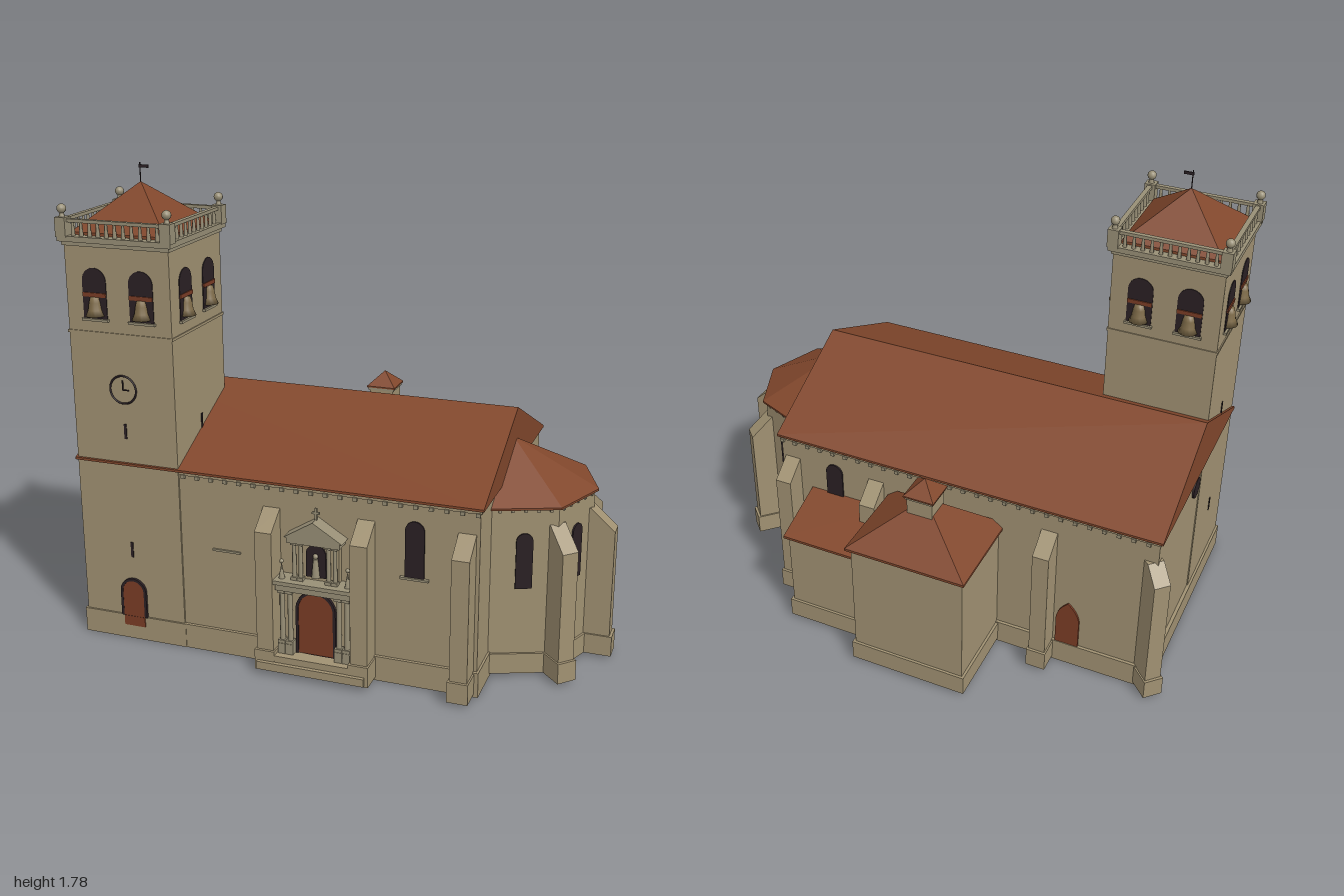
import * as THREE from 'three';
import { ConvexGeometry } from 'three/addons/geometries/ConvexGeometry.js';

const mat = (name, color) => {
  const m = new THREE.MeshStandardMaterial({ color });
  m.name = name;
  return m;
};

export function createModel() {
  const stone = mat('stone', 0xa09172), trim = mat('paleTrim', 0x988f76), roof = mat('roofTile', 0x81472c),
    dark = mat('darkOpening', 0x2a2024), wood = mat('wood', 0x7a3c25), bronze = mat('bronze', 0x7d6a48);
  stone.side = THREE.DoubleSide; // the walls are open shells
  const root = new THREE.Group();
  root.name = 'church';

  const add = (name, geo, m, x = 0, y = 0, z = 0, ry = 0, parent = root) => {
    const mesh = new THREE.Mesh(geo, m);
    mesh.name = name;
    mesh.position.set(x, y, z);
    mesh.rotation.y = ry;
    parent.add(mesh);
    return mesh;
  };
  // Box given by its limits
  const box = (name, m, x0, x1, y0, y1, z0, z1, parent = root) =>
    add(name, new THREE.BoxGeometry(x1 - x0, y1 - y0, z1 - z0), m, (x0 + x1) / 2, (y0 + y1) / 2, (z0 + z1) / 2, 0, parent);
  const hull = (name, m, pts) => add(name, new ConvexGeometry(pts.map(p => new THREE.Vector3(...p))), m);
  const group = (name, x, y, z, ry = 0) => {
    const g = new THREE.Group();
    g.name = name;
    g.position.set(x, y, z);
    g.rotation.y = ry;
    root.add(g);
    return g;
  };
  const rect = (x0, x1, z0, z1) => [[x0, z1], [x1, z1], [x1, z0], [x0, z0]];
  // Walls without floor or ceiling around a ground plan of [x, z] corners
  const walls = (name, plan, y0, y1) => {
    const pos = [];
    plan.forEach(([ax, az], i) => {
      const [bx, bz] = plan[(i + 1) % plan.length];
      pos.push(ax, y0, az, bx, y0, bz, bx, y1, bz, ax, y0, az, bx, y1, bz, ax, y1, az);
    });
    const geo = new THREE.BufferGeometry();
    geo.setAttribute('position', new THREE.Float32BufferAttribute(pos, 3));
    geo.computeVertexNormals();
    return add(name, geo, stone);
  };
  // Plinth ring between two ground plans
  const ring = (name, outer, inner, y0, y1) => {
    const flat = pts => pts.map(([x, z]) => new THREE.Vector2(x, -z));
    const s = new THREE.Shape(flat(outer));
    s.holes.push(new THREE.Path(flat(inner)));
    return add(name, new THREE.ExtrudeGeometry(s, { depth: y1 - y0, bevelEnabled: false }).rotateX(-Math.PI / 2), stone, 0, y0, 0);
  };
  // Round-headed plate, base at y = 0, facing +z
  const arch = (w, h, depth = 0.006, cut = 0) => {
    const outline = (o, r, top) => {
      o.moveTo(-r, 0);
      o.lineTo(r, 0);
      o.lineTo(r, top);
      o.absarc(0, top, r, 0, Math.PI, false);
      o.lineTo(-r, 0);
      return o;
    };
    const s = outline(new THREE.Shape(), w / 2, h - w / 2);
    if (cut) s.holes.push(outline(new THREE.Path(), w / 2 - cut, h - w / 2));
    return new THREE.ExtrudeGeometry(s, { depth, bevelEnabled: false, curveSegments: 10 });
  };
  const pyramid = (name, cx, cz, rx, rz, y, top, lip = 0.01) => hull(name, roof, [
    ...rect(cx - rx, cx + rx, cz - rz, cz + rz).flatMap(([x, z]) => [[x, y, z], [x, y + lip, z]]), [cx, top, cz]]);
  const H = Math.PI / 2, base = 0.012;

  // Nave
  const navePlan = rect(-0.932, 0.6, -0.333, 0.572);
  walls('naveWalls', navePlan, 0, 0.702);
  ring('navePlinth', rect(-0.945, 0.608, -0.345, 0.584), navePlan, 0, 0.095);
  ring('naveCornice', rect(-0.937, 0.605, -0.339, 0.577), navePlan, 0.688, 0.7);
  hull('naveRoof', roof, [-0.945, 0.613].flatMap(x =>
    [[x, 0.7, -0.346], [x, 0.709, -0.346], [x, 0.7, 0.584], [x, 0.709, 0.584], [x, 0.927, 0.118]]));
  for (let x = -0.9; x < 0.6; x += 0.055) {
    if (x > -0.52) box('eaveBracket', trim, x, x + 0.015, 0.678, 0.692, 0.573, 0.583);
    box('eaveBracket', trim, x, x + 0.015, 0.678, 0.692, -0.345, -0.334);
  }
  for (const [z, ry] of [[0.573, 0], [-0.334, Math.PI]]) {
    const g = group('naveWindow', 0.37 * Math.sign(1), 0.42, z, ry);
    add('windowOpening', arch(0.07, 0.21), dark, 0, 0, 0, 0, g);
    box('windowSill', trim, -0.052, 0.052, -0.008, 0, 0, 0.013, g);
  }
  box('wallLedge', trim, -0.4, -0.29, 0.41, 0.418, 0.573, 0.58);
  add('westOculus', new THREE.CylinderGeometry(0.042, 0.042, 0.008, 20).rotateZ(H), dark, -0.937, 0.64, 0.1);
  const pointed = new THREE.Shape();
  pointed.moveTo(-0.046, 0);
  pointed.lineTo(0.046, 0);
  pointed.lineTo(0.046, 0.12);
  pointed.quadraticCurveTo(0.042, 0.165, 0, 0.2);
  pointed.quadraticCurveTo(-0.042, 0.165, -0.046, 0.12);
  add('northDoor', new THREE.ExtrudeGeometry(pointed, { depth: 0.008, bevelEnabled: false }), wood, -0.61, 0.095, -0.334, Math.PI);

  // Apse
  const plan = [[0.6, 0.42], [0.82, 0.333], [0.905, 0.12], [0.82, -0.095], [0.6, -0.182]];
  const grow = k => plan.map(([x, z]) => [0.6 + (x - 0.6) * k, 0.12 + (z - 0.12) * k]);
  walls('apseWalls', plan, base, 0.647);
  ring('apsePlinth', grow(1.03), grow(0.999), base, 0.09);
  hull('apseRoof', roof, [...grow(1.045).flatMap(([x, z]) => [[x, 0.645, z], [x, 0.653, z]]), [0.6, 0.645, 0.12], [0.6, 0.815, 0.12]]);
  for (let i = 0; i < 4; i++) {
    const [ax, az] = plan[i], [bx, bz] = plan[i + 1];
    const g = group('apseSide', (ax + bx) / 2, 0, (az + bz) / 2, Math.atan2(az - bz, bx - ax));
    add('apseWindow', arch(0.06, 0.21), dark, 0, 0.345, 0.001, 0, g);
    for (let k = -2; k <= 2; k++) box('apseBracket', trim, k * 0.045 - 0.005, k * 0.045 + 0.005, 0.634, 0.646, 0, 0.007, g);
  }

  // Buttresses with sloping tops; the angle gives the outward direction
  const buttress = (x, z, ry, d, low, high) => {
    const g = group('buttress', x, 0, z, ry);
    const s = new THREE.Shape([[-0.03, 0.05], [d, 0.05], [d, low], [0, high], [-0.03, high]].map(p => new THREE.Vector2(...p)));
    add('buttressShaft', new THREE.ExtrudeGeometry(s, { depth: 0.064, bevelEnabled: false }).translate(0, 0, -0.032), stone, 0, 0, 0, 0, g);
    box('buttressFoot', stone, -0.03, d + 0.01, base, 0.09, -0.038, 0.038, g);
  };
  for (const x of [-0.165, 0.192, 0.555]) buttress(x, 0.572, -H, 0.085, 0.545, 0.61);
  for (const x of [-0.52, 0.19, 0.555]) buttress(x, -0.333, H, 0.085, 0.545, 0.61);
  buttress(-0.922, -0.33, Math.PI * 0.75, 0.062, 0.54, 0.605);
  buttress(0.9, 0.118, 0, 0.09, 0.505, 0.585);
  buttress(0.815, 0.325, -H / 2, 0.086, 0.505, 0.585);
  buttress(0.815, -0.087, H / 2, 0.086, 0.505, 0.585);

  // Sacristy with lantern
  const sacristy = rect(-0.32, 0.125, -0.66, -0.334);
  walls('sacristyWalls', sacristy, base, 0.555);
  ring('sacristyPlinth', rect(-0.33, 0.135, -0.67, -0.33), sacristy, base, 0.09);
  pyramid('sacristyRoof', -0.097, -0.49, 0.238, 0.19, 0.55, 0.735);
  walls('lanternWalls', rect(-0.147, -0.047, -0.54, -0.44), 0.67, 0.765);
  box('lanternCornice', trim, -0.152, -0.042, 0.752, 0.762, -0.545, -0.435);
  pyramid('lanternRoof', -0.097, -0.49, 0.06, 0.06, 0.762, 0.825, 0.006);

  // Lean-to with a wedge roof
  const leanTo = rect(0.165, 0.46, -0.553, -0.334);
  walls('leanToWalls', leanTo, base, 0.412);
  ring('leanToPlinth', rect(0.155, 0.47, -0.563, -0.33), leanTo, base, 0.09);
  hull('leanToGable', stone, [0.165, 0.46].flatMap(x => [[x, 0.41, -0.334], [x, 0.41, -0.553], [x, 0.478, -0.334]]));
  hull('leanToRoof', roof, [0.15, 0.475].flatMap(x => [[x, 0.405, -0.568], [x, 0.415, -0.568], [x, 0.478, -0.334], [x, 0.49, -0.334]]));

  // Bell tower
  const tx = -0.731, tz = 0.374, th = 0.205;
  const tier = r => rect(tx - r, tx + r, tz - r, tz + r);
  const slab = (name, r, y0, y1) => box(name, trim, tx - r, tx + r, y0, y1, tz - r, tz + r);
  walls('towerWalls', tier(th), 0, 1.52);
  ring('towerPlinth', tier(0.212), tier(th), 0, 0.095);
  ring('towerBand', tier(0.209), tier(th), 1.188, 1.198);
  slab('towerCorniceLower', 0.211, 1.505, 1.52);
  slab('towerCorniceUpper', 0.222, 1.52, 1.54);
  pyramid('towerRoof', tx, tz, 0.185, 0.185, 1.54, 1.71);
  const bell = new THREE.LatheGeometry([[0, 0], [0.036, 0], [0.026, 0.022], [0.022, 0.048], [0.017, 0.066], [0, 0.07]]
    .map(p => new THREE.Vector2(...p)), 14);
  const baluster = new THREE.CylinderGeometry(0.005, 0.008, 0.05, 6);
  for (let i = 0; i < 4; i++) {
    const g = group('towerSide', tx, 0, tz, i * H);
    for (const x of [-0.092, 0.092]) {
      add('belfryOpening', arch(0.094, 0.185, 0.003), dark, x, 1.245, th + 0.001, 0, g);
      box('belfrySill', trim, x - 0.052, x + 0.052, 1.238, 1.247, th, th + 0.012, g);
      box('bellBeam', wood, x - 0.046, x + 0.046, 1.326, 1.341, th, th + 0.008, g);
      add('bell', bell, bronze, x, 1.258, th + 0.002, 0, g);
    }
    if (i !== 2) box('towerSlit', dark, -0.005, 0.005, 0.803, 0.86, th - 0.004, th + 0.003, g);
    if (i === 0 || i === 3) box('towerSlit', dark, -0.005, 0.005, 0.335, 0.395, th - 0.004, th + 0.003, g);
    // Balustrade, corner post and ball
    box('balustradeRail', trim, -0.205, 0.205, 1.588, 1.6, 0.195, 0.213, g);
    for (let k = -5; k <= 5; k++) add('baluster', baluster, trim, k * 0.033, 1.563, 0.204, 0, g);
    box('cornerPost', trim, 0.184, 0.225, 1.535, 1.605, 0.184, 0.225, g);
    add('postNeck', new THREE.CylinderGeometry(0.007, 0.012, 0.02, 8), trim, 0.205, 1.612, 0.205, 0, g);
    add('postBall', new THREE.SphereGeometry(0.017, 12, 8), trim, 0.205, 1.634, 0.205, 0, g);
  }
  const front = group('towerFront', tx, 0, tz + th + 0.001);
  add('clockRing', new THREE.TorusGeometry(0.052, 0.0038, 6, 28), dark, 0, 0.99, 0.001, 0, front);
  box('clockMinuteHand', dark, -0.002, 0.002, 0.988, 1.025, 0, 0.004, front);
  box('clockHourHand', dark, 0, 0.024, 0.988, 0.992, 0, 0.004, front);
  add('towerDoor', arch(0.086, 0.185, 0.01), wood, 0, 0.055, 0, 0, front);
  add('towerDoorFrame', arch(0.106, 0.155, 0.01, 0.01), dark, 0, 0.095, 0.001, 0, front);
  add('vanePole', new THREE.CylinderGeometry(0.002, 0.002, 0.08, 6), dark, tx, 1.738, tz);
  box('vaneFlag', dark, tx - 0.004, tx + 0.033, 1.759, 1.77, tz - 0.002, tz + 0.002);

  // Portal, centred on its own axis
  const p = group('portal', 0.014, 0, 0.573);
  const column = (x, y, h, r, z) => {
    add('columnShaft', new THREE.CylinderGeometry(r * 0.85, r, h, 10), trim, x, y + h / 2, z, 0, p);
    for (const [y0, y1] of [[y, y + 0.012], [y + h - 0.012, y + h]])
      box('columnBlock', trim, x - r * 1.4, x + r * 1.4, y0, y1, z - r * 1.4, z + r * 1.4, p);
  };
  box('lowerStep', stone, -0.205, 0.203, 0.02, 0.05, 0, 0.108, p);
  box('upperStep', stone, -0.16, 0.16, 0.05, 0.075, 0, 0.093, p);
  box('portalWall', stone, -0.142, 0.142, 0.02, 0.33, 0, 0.03, p);
  add('portalDoor', arch(0.135, 0.24, 0.008), wood, 0, 0.075, 0.03, 0, p);
  add('portalDoorFrame', arch(0.152, 0.25, 0.012, 0.01), dark, 0, 0.075, 0.03, 0, p);
  box('entablature', trim, -0.142, 0.142, 0.325, 0.35, 0, 0.07, p);
  box('entablatureCornice', trim, -0.147, 0.147, 0.35, 0.365, 0, 0.08, p);
  box('nicheWall', stone, -0.085, 0.085, 0.365, 0.515, 0, 0.025, p);
  add('niche', arch(0.075, 0.125), dark, 0, 0.378, 0.025, 0, p);
  add('statueBody', new THREE.CylinderGeometry(0.009, 0.016, 0.07, 8), trim, 0, 0.415, 0.033, 0, p);
  add('statueHead', new THREE.SphereGeometry(0.01, 8, 6), trim, 0, 0.46, 0.033, 0, p);
  box('nicheEntablature', trim, -0.1, 0.1, 0.51, 0.53, 0, 0.06, p);
  const gable = new THREE.Shape([[-0.11, 0], [0.11, 0], [0, 0.068]].map(q => new THREE.Vector2(...q)));
  add('pediment', new THREE.ExtrudeGeometry(gable, { depth: 0.06, bevelEnabled: false }), trim, 0, 0.53, 0, 0, p);
  box('crossUpright', trim, -0.004, 0.004, 0.59, 0.64, 0.02, 0.028, p);
  box('crossArm', trim, -0.014, 0.014, 0.618, 0.626, 0.02, 0.028, p);
  for (const s of [-1, 1]) {
    for (const x of [0.093, 0.123]) {
      box('columnPedestal', trim, s * x - 0.014, s * x + 0.014, 0.05, 0.115, 0, 0.066, p);
      column(s * x, 0.115, 0.21, 0.01, 0.05);
    }
    for (const x of [0.053, 0.077]) column(s * x, 0.365, 0.148, 0.008, 0.042);
    add('finial', new THREE.ConeGeometry(0.012, 0.06, 8), trim, s * 0.125, 0.395, 0.045, 0, p);
    add('finialBall', new THREE.SphereGeometry(0.008, 8, 6), trim, s * 0.125, 0.43, 0.045, 0, p);
  }
  return root;
}
